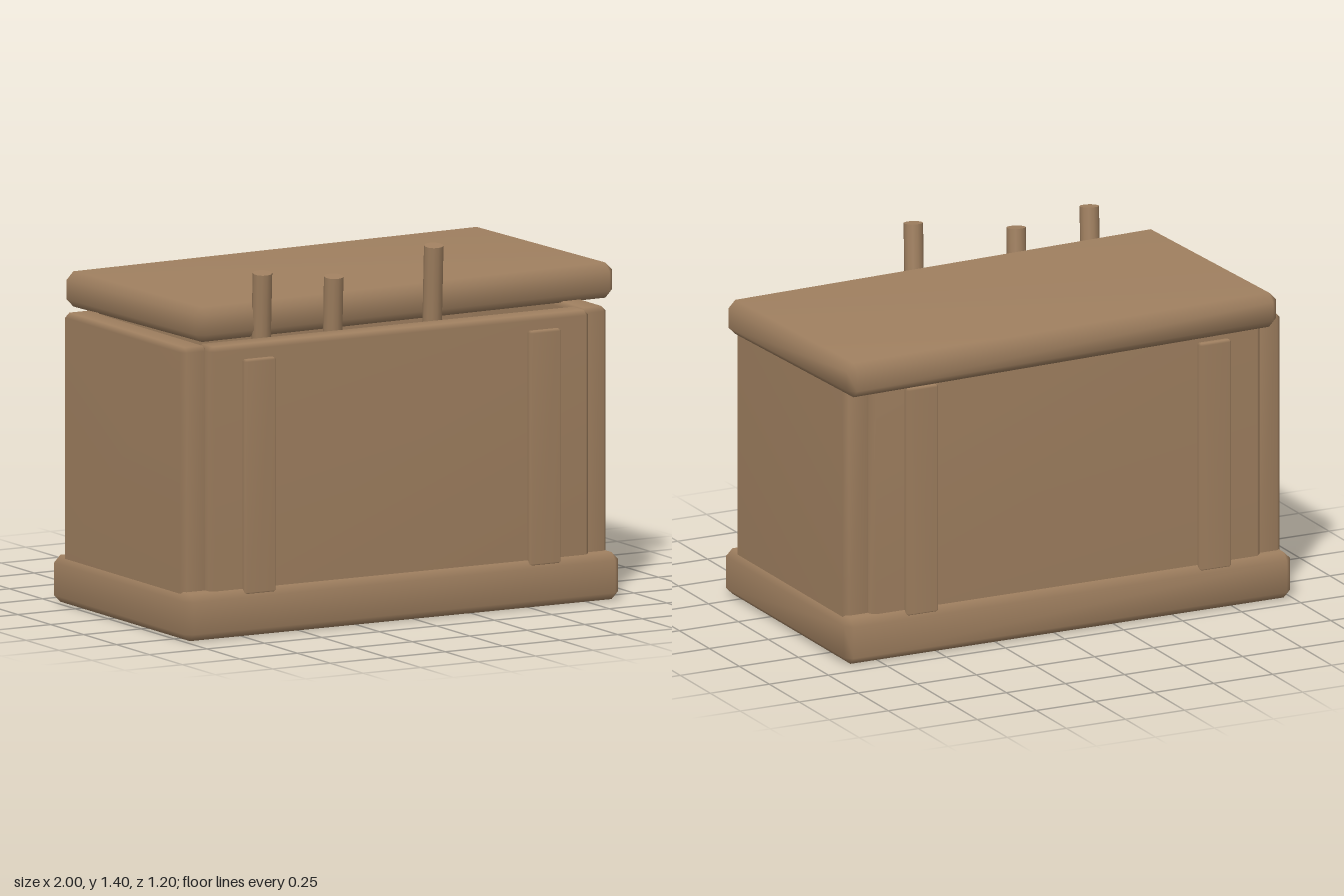
import * as THREE from 'three';
import { mergeVertices } from 'three/addons/utils/BufferGeometryUtils.js';
import { ConvexGeometry } from 'three/addons/geometries/ConvexGeometry.js';

// Box between two corners with a single chamfer and softened normals
function chamferBox(w, h, d, c) {
  const pts = [];
  for (const sx of [-1, 1]) for (const sy of [-1, 1]) for (const sz of [-1, 1]) {
    const x = w / 2, y = h / 2, z = d / 2;
    pts.push(new THREE.Vector3(sx * x, sy * (y - c), sz * (z - c)));
    pts.push(new THREE.Vector3(sx * (x - c), sy * y, sz * (z - c)));
    pts.push(new THREE.Vector3(sx * (x - c), sy * (y - c), sz * z));
  }
  let geo = new ConvexGeometry(pts);
  geo.deleteAttribute('normal');
  geo = mergeVertices(geo, 1e-4);
  geo.computeVertexNormals();
  return geo;
}

export function createModel() {
  const model = new THREE.Group();
  model.name = 'woodenCrate';
  const wood = new THREE.MeshStandardMaterial({ color: 0xa08060 });
  wood.name = 'wood';

  const slab = (name, [x0, x1], [y0, y1], [z0, z1], c) => {
    const mesh = new THREE.Mesh(chamferBox(x1 - x0, y1 - y0, z1 - z0, c), wood);
    mesh.position.set((x0 + x1) / 2, (y0 + y1) / 2, (z0 + z1) / 2);
    mesh.name = name;
    model.add(mesh);
    return mesh;
  };

  // Base plinth
  slab('base', [-1, 0.89], [0, 0.18], [-0.44, 0.6], 0.028);

  // Four walls around an open interior
  const wallY = [0.155, 1.115];
  slab('frontWall', [-0.88, 0.77], wallY, [0.455, 0.57], 0.018);
  slab('backWall', [-0.88, 0.77], wallY, [-0.41, -0.295], 0.018);
  slab('rightWall', [-0.98, -0.865], wallY, [-0.38, 0.53], 0.018);
  slab('leftWall', [0.755, 0.87], wallY, [-0.38, 0.53], 0.018);

  // Upright battens on the front and back
  for (const x of [-0.675, 0.565]) {
    slab('frontBatten', [x - 0.067, x + 0.067], [0.16, 1.06], [0.555, 0.595], 0.008);
    slab('backBatten', [x - 0.067, x + 0.067], [0.16, 1.06], [-0.435, -0.395], 0.008);
  }

  // Lid pushed askew
  const lid = slab('lid', [-0.88, 0.98], [1.11, 1.245], [-0.563, 0.407], 0.03);
  lid.rotation.y = 0.043;

  // Rods poking out in front of the lid
  const rodLength = 0.7;
  for (const [x, y] of [[-0.59, 1.36], [-0.28, 1.32], [0.155, 1.4]]) {
    const geo = new THREE.CylinderGeometry(0.037, 0.037, rodLength, 12);
    geo.translate(0, -rodLength / 2, 0);
    const rod = new THREE.Mesh(geo, wood);
    rod.name = 'rod';
    rod.position.set(x, y, 0.456);
    rod.rotation.set(0.12, 0, 0.045);
    model.add(rod);
  }
  return model;
}
